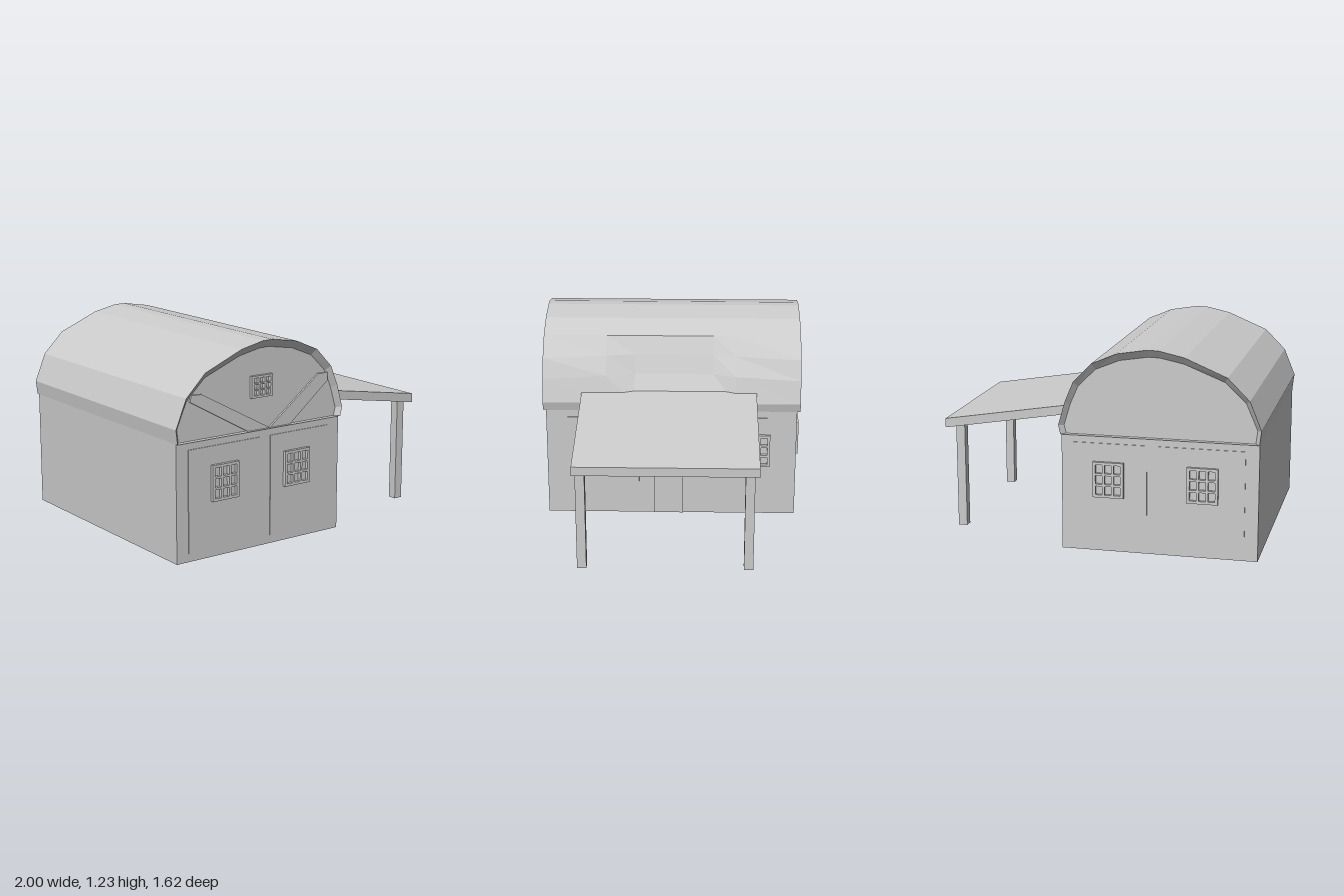
import * as THREE from 'three';

const mat = new THREE.MeshStandardMaterial({ color: 0xcccccc, flatShading: true });

function add(parent, name, geo, x = 0, y = 0, z = 0) {
  const m = new THREE.Mesh(geo, mat);
  m.name = name;
  m.position.set(x, y, z);
  parent.add(m);
  return m;
}

// box given by its min and max corners
function box(parent, name, x0, x1, y0, y1, z0, z1) {
  return add(parent, name, new THREE.BoxGeometry(x1 - x0, y1 - y0, z1 - z0),
    (x0 + x1) / 2, (y0 + y1) / 2, (z0 + z1) / 2);
}

// flat polygon extruded along +z
function slab(points, depth, holes = []) {
  const toPath = (p) => p.map(([x, y]) => new THREE.Vector2(x, y));
  const s = new THREE.Shape(toPath(points));
  holes.forEach((h) => s.holes.push(new THREE.Path(toPath(h))));
  return new THREE.ExtrudeGeometry(s, { depth, bevelEnabled: false });
}

const rect = (cx, cy, w, h) => [
  [cx - w / 2, cy - h / 2], [cx + w / 2, cy - h / 2],
  [cx + w / 2, cy + h / 2], [cx - w / 2, cy + h / 2]];

// frame with a 3 x 3 grid of panes; paneY is the centre height of the panes
function paned(w, h, depth, pw, ph, paneY = 0) {
  const holes = [];
  for (let i = -1; i <= 1; i++)
    for (let j = -1; j <= 1; j++)
      holes.push(rect(i * pw, paneY + j * ph, pw * 0.74, ph * 0.8));
  return slab(rect(0, 0, w, h), depth, holes);
}

// vaulted roof lofted along z, pushed in over the porch
function roofGeometry() {
  const outer = [[-0.99, 0.705], [-1, 0.79], [-0.93, 0.96], [-0.8, 1.09], [-0.55, 1.195], [-0.4, 1.228],
    [-0.33, 1.23], [-0.15, 1.2], [0, 1.135], [0.11, 1.02], [0.16, 0.9], [0.2, 0.76], [0.187, 0.705]];
  const inner = outer.map(([x, y]) => [-0.4 + (x + 0.4) * 0.955, 0.705 + (y - 0.705) * 0.91]);
  const dent = (ax, bx) => outer.map((p, i) => (i === 9 ? [ax, 1.03] : i === 10 ? [bx, 0.92] : p));
  const rings = [[-0.77, inner], [-0.805, outer], [-0.4, dent(0.08, 0.15)], [-0.26, dent(0.055, 0.105)],
    [0.23, dent(0.055, 0.105)], [0.41, dent(0.08, 0.15)], [0.803, outer], [0.77, inner]];
  const n = outer.length, pos = [], idx = [];
  rings.forEach(([z, p]) => p.forEach(([x, y]) => pos.push(x, y, z)));
  const last = (rings.length - 1) * n;
  for (let r = 0; r < rings.length - 1; r++)
    for (let j = 0; j < n; j++) {
      const a = r * n + j, b = r * n + (j + 1) % n;
      idx.push(a, a + n, b, b, a + n, b + n);
    }
  for (let j = 1; j < n - 1; j++) // gable ends
    idx.push(0, j, j + 1, last, last + j + 1, last + j);
  const g = new THREE.BufferGeometry();
  g.setAttribute('position', new THREE.Float32BufferAttribute(pos, 3));
  g.setIndex(idx);
  const flat = g.toNonIndexed();
  flat.computeVertexNormals();
  return flat;
}

export function createModel() {
  const barn = new THREE.Group();
  barn.name = 'barn';

  box(barn, 'walls', -0.99, 0.185, 0, 0.705, -0.785, 0.785);
  add(barn, 'roof', roofGeometry());

  // raised wall panels and windows on both ends
  for (const [x0, x1] of [[-0.91, -0.4], [-0.33, 0.11]]) {
    box(barn, 'frontPanel', x0, x1, 0.05, 0.66, 0.78, 0.79);
    box(barn, 'backPanel', x0, x1, 0.05, 0.66, -0.79, -0.78);
  }
  const windowGeo = paned(0.185, 0.215, 0.03, 0.055, 0.065);
  for (const x of [-0.662, -0.142])
    add(barn, 'frontWindow', windowGeo, x, 0.442, 0.78);
  for (const x of [-0.662, -0.1])
    add(barn, 'backWindow', windowGeo, x, 0.442, -0.78).rotation.y = Math.PI;

  // front gable: loft window and two diagonal braces
  add(barn, 'loftWindow', paned(0.15, 0.13, 0.03, 0.043, 0.037), -0.39, 0.96, 0.76);
  const braces = [
    [[-0.49, 0.705], [-0.33, 0.705], [-0.81, 0.965], [-0.88, 0.97], [-0.89, 0.93]],
    [[-0.33, 0.705], [-0.18, 0.705], [0.1, 0.93], [0.1, 0.98], [0.03, 0.98]]];
  braces.forEach((p) => add(barn, 'brace', slab(p, 0.02), 0, 0, 0.762));

  // porch side wall
  for (const [z0, z1] of [[-0.69, -0.205], [-0.195, 0.195], [0.205, 0.69]])
    box(barn, 'sidePanel', 0.18, 0.19, 0.05, 0.66, z0, z1);
  for (const z of [0.487, -0.528])
    add(barn, 'sideWindow', windowGeo, 0.18, 0.442, z).rotation.y = Math.PI / 2;
  const door = add(barn, 'door', paned(0.185, 0.54, 0.03, 0.055, 0.065, 0.162), 0.18, 0.28, 0.018);
  door.rotation.y = Math.PI / 2;

  // sloping porch roof on two posts
  const porch = new THREE.Group();
  porch.name = 'porch';
  barn.add(porch);
  add(porch, 'porchRoof', slab([[0.15, 0.772], [0.99, 0.635], [1, 0.635], [1, 0.69], [0.15, 0.828]], 1.09), 0, 0, -0.53);
  for (const z of [0.517, -0.477])
    box(porch, 'post', 0.885, 0.94, 0, 0.66, z - 0.028, z + 0.028);

  return barn;
}
